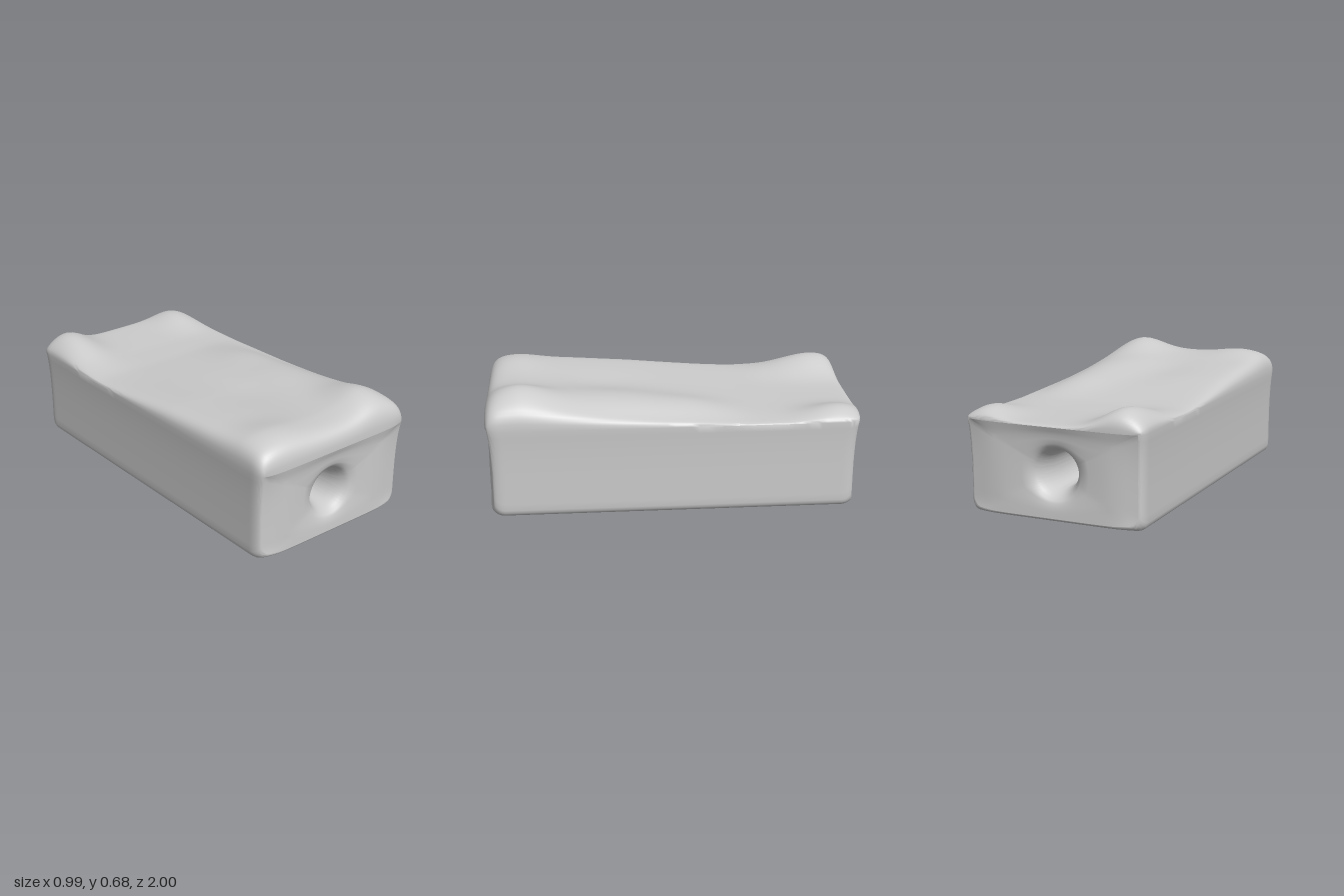
import * as THREE from 'three';
import { toCreasedNormals } from 'three/addons/utils/BufferGeometryUtils.js';

const HALF_W = 0.487, HALF_L = 0.985, EDGE_Y = 0.49, BORE_Y = 0.25;
const { lerp, clamp } = THREE.MathUtils;

// Joins closed rings of equal point count into one smooth skin.
function loft(rings, crease) {
  const n = rings[0].length, pos = [], idx = [];
  rings.forEach(r => r.forEach(p => pos.push(p.x, p.y, p.z)));
  for (let i = 0; i < rings.length - 1; i++) {
    for (let j = 0; j < n; j++) {
      const a = i * n + j, b = i * n + (j + 1) % n;
      idx.push(a, a + n, b, b, a + n, b + n);
    }
  }
  const g = new THREE.BufferGeometry();
  g.setAttribute('position', new THREE.Float32BufferAttribute(pos, 3));
  g.setIndex(idx);
  return toCreasedNormals(g, crease);
}

// Thickness of the worn top above the edge, from back to front.
const swell = [[-1, 0.012], [-0.6, 0.01], [-0.4, 0.016], [-0.2, 0.036], [0, 0.058],
  [0.2, 0.08], [0.5, 0.104], [0.8, 0.122], [1, 0.118]];
// Humps, ridge and dips: x, z, height, spread in x, spread in z.
const humps = [[0.3, 0.8, 0.064, 0.14, 0.2], [-0.3, 0.84, 0.028, 0.16, 0.16],
  [-0.36, -0.88, 0.1, 0.15, 0.29], [0.38, -0.87, 0.052, 0.12, 0.18],
  [0.24, 0.3, 0.022, 0.15, 0.28], [0.28, -0.1, 0.024, 0.13, 0.22],
  [0.46, 0.2, -0.03, 0.08, 0.45], [-0.02, 0.35, -0.016, 0.16, 0.28]];

function topHeight(x, z) {
  const k = clamp(swell.findIndex(s => s[0] >= z), 1, swell.length - 1);
  const [z0, h0] = swell[k - 1], [z1, h1] = swell[k];
  let h = lerp(h0, h1, (z - z0) / (z1 - z0));
  for (const [hx, hz, a, sx, sz] of humps) {
    h += a * Math.exp(-(((x - hx) / sx) ** 2) - ((z - hz) / sz) ** 2);
  }
  const round = (t, p) => Math.max(0, 1 - Math.abs(t) ** p) ** 0.37;
  return EDGE_Y + h * round(x / HALF_W, 13) * round(z / HALF_L, 26);
}

// One cross-section of the block, counter-clockwise seen from the front.
function section(z) {
  const t = clamp((Math.abs(z) - 0.92) / 0.065, 0, 1);
  const bend = 1 - Math.sqrt(1 - t * t);
  const lift = 0.022 * bend, r = 0.04, pts = [];
  // Flares the upper edge, and draws in the upright and bottom corners.
  const add = (x, y) => {
    const flare = clamp(y / 0.5, 0, 1) ** 4;
    const corner = Math.abs(x / HALF_W) ** 8;
    pts.push(new THREE.Vector3(
      x * (1 + 0.022 * flare - 0.055 * bend),
      y + 0.02 * t * t * corner * (1 - flare),
      z * (1 + 0.015 * flare - corner * (0.022 - 0.006 * flare))));
  };
  for (let i = 0; i < 36; i++) {
    const x = HALF_W * Math.cos(Math.PI * i / 36);
    add(x, topHeight(x, z));
  }
  for (let i = 0; i < 12; i++) add(-HALF_W, lerp(EDGE_Y, lift + r, i / 12));
  for (let i = 0; i < 4; i++) {
    const a = Math.PI / 2 * i / 4;
    add(-HALF_W + r - r * Math.cos(a), lift + r - r * Math.sin(a));
  }
  for (let i = 0; i < 28; i++) add(lerp(-HALF_W + r, HALF_W - r, i / 28), lift);
  for (let i = 0; i < 4; i++) {
    const a = Math.PI / 2 * i / 4;
    add(HALF_W - r + r * Math.sin(a), lift + r - r * Math.cos(a));
  }
  for (let i = 0; i < 12; i++) add(HALF_W, lerp(lift + r, EDGE_Y, i / 12));
  return pts;
}

export function createModel() {
  const group = new THREE.Group();
  const material = new THREE.MeshStandardMaterial({ color: 0xcccccc });
  const add = (name, geometry) => {
    const mesh = new THREE.Mesh(geometry, material);
    mesh.name = name;
    group.add(mesh);
  };

  // Outer shell: rings packed closer towards both ends.
  const shell = [];
  for (let i = 0; i <= 72; i++) shell.push(section(HALF_L * Math.cos(Math.PI * i / 72)));
  add('blockShell', loft(shell, 0.9));

  // Elliptical ring of the bore, lined up with the outline by angle.
  const outline = { 1: section(HALF_L), [-1]: section(-HALF_L) };
  const oval = (z, rx, ry, cx) => outline[1].map(p => {
    const a = Math.atan2(p.y - BORE_Y, p.x);
    return new THREE.Vector3(cx + rx * Math.cos(a), BORE_Y + ry * Math.sin(a), z);
  });

  // End faces run from the outline into the flared mouth of the bore.
  const face = side => {
    const mouth = oval(side * 0.97, 0.14, 0.14, -0.015);
    return [0, 0.08, 0.2, 0.4, 0.6, 0.85, 1].map(t => outline[side].map((p, j) => {
      const q = p.clone().lerp(mouth[j], t);
      q.z = lerp(p.z, side * 0.984, Math.min(1, t * 2.5)) - side * 0.014 * t ** 4;
      return q;
    }));
  };

  // Tunnel from mouth to the narrow middle: z, half width, half height, x shift.
  const throat = [[0.95, 0.122, 0.126, -0.015], [0.92, 0.105, 0.115, -0.015],
    [0.88, 0.09, 0.106, -0.012], [0.83, 0.078, 0.1, -0.008],
    [0.75, 0.07, 0.097, -0.005], [0.4, 0.064, 0.095, -0.003]];
  const tunnel = [
    ...throat.map(([z, ...o]) => oval(-z, ...o)),
    ...throat.slice().reverse().map(([z, ...o]) => oval(z, ...o)),
  ];
  add('endFacesAndBore', loft([...face(-1), ...tunnel, ...face(1).reverse()], 0.9));
  return group;
}
